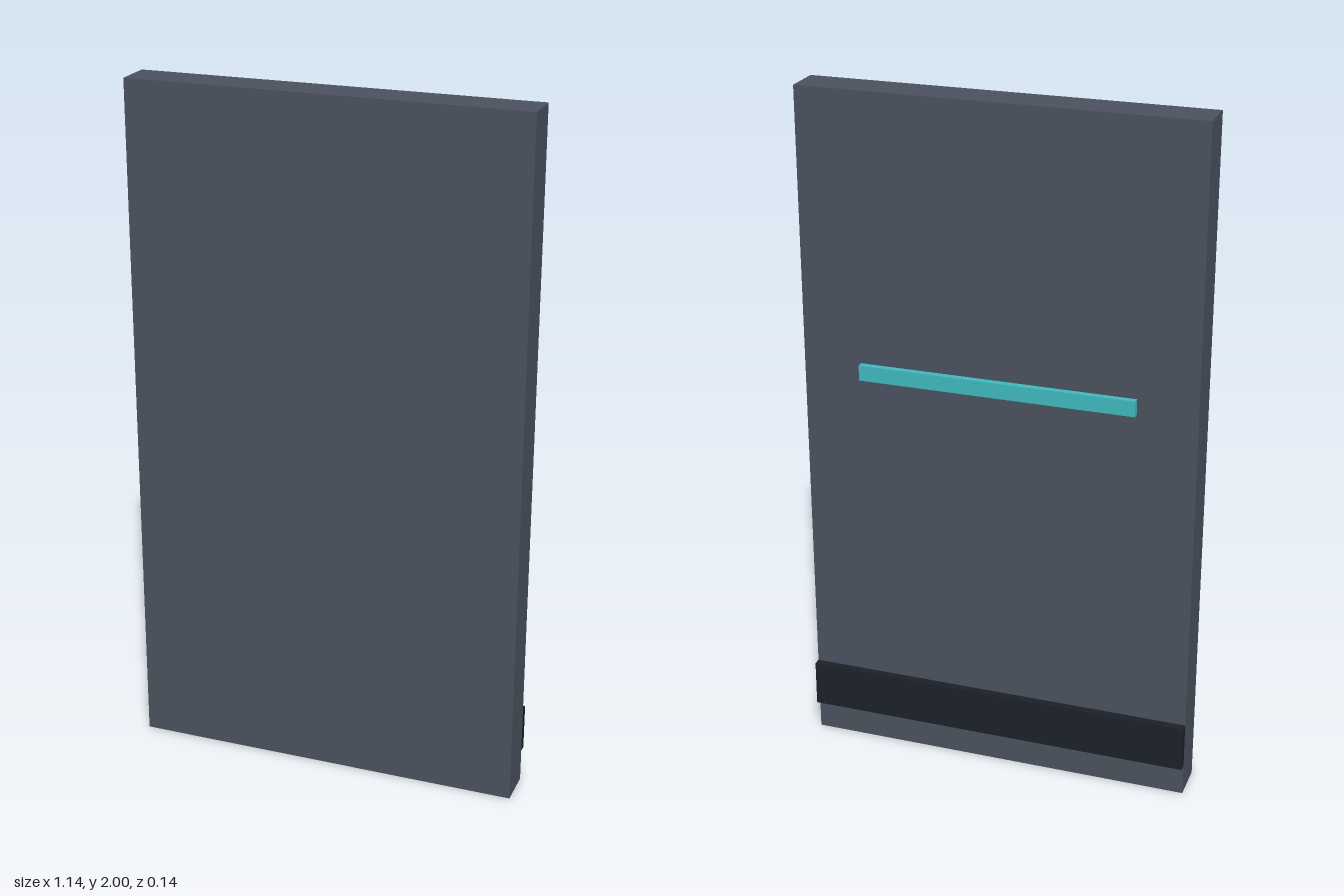
import * as THREE from 'three';

// Box given by its extents on y and z, centred on x
function slab(name, color, width, [y0, y1], [z0, z1]) {
  const mesh = new THREE.Mesh(
    new THREE.BoxGeometry(width, y1 - y0, z1 - z0),
    new THREE.MeshStandardMaterial({ color })
  );
  mesh.position.set(0, (y0 + y1) / 2, (z0 + z1) / 2);
  mesh.name = name;
  return mesh;
}

export function createModel() {
  const group = new THREE.Group();
  group.name = 'panel';
  const back = -0.0457; // rear face of the main panel

  // Upright panel
  group.add(slab('mainPanel', 0x4a525e, 1.143, [0, 2], [back, 0.0686]));
  // Full-width dark band low on the back
  group.add(slab('lowerBand', 0x1c2029, 1.143, [0.094, 0.231], [-0.0686, back]));
  // Slim teal bar across the back
  group.add(slab('accentBar', 0x3fb8bd, 0.8, [1.178, 1.223], [-0.065, back]));

  return group;
}
